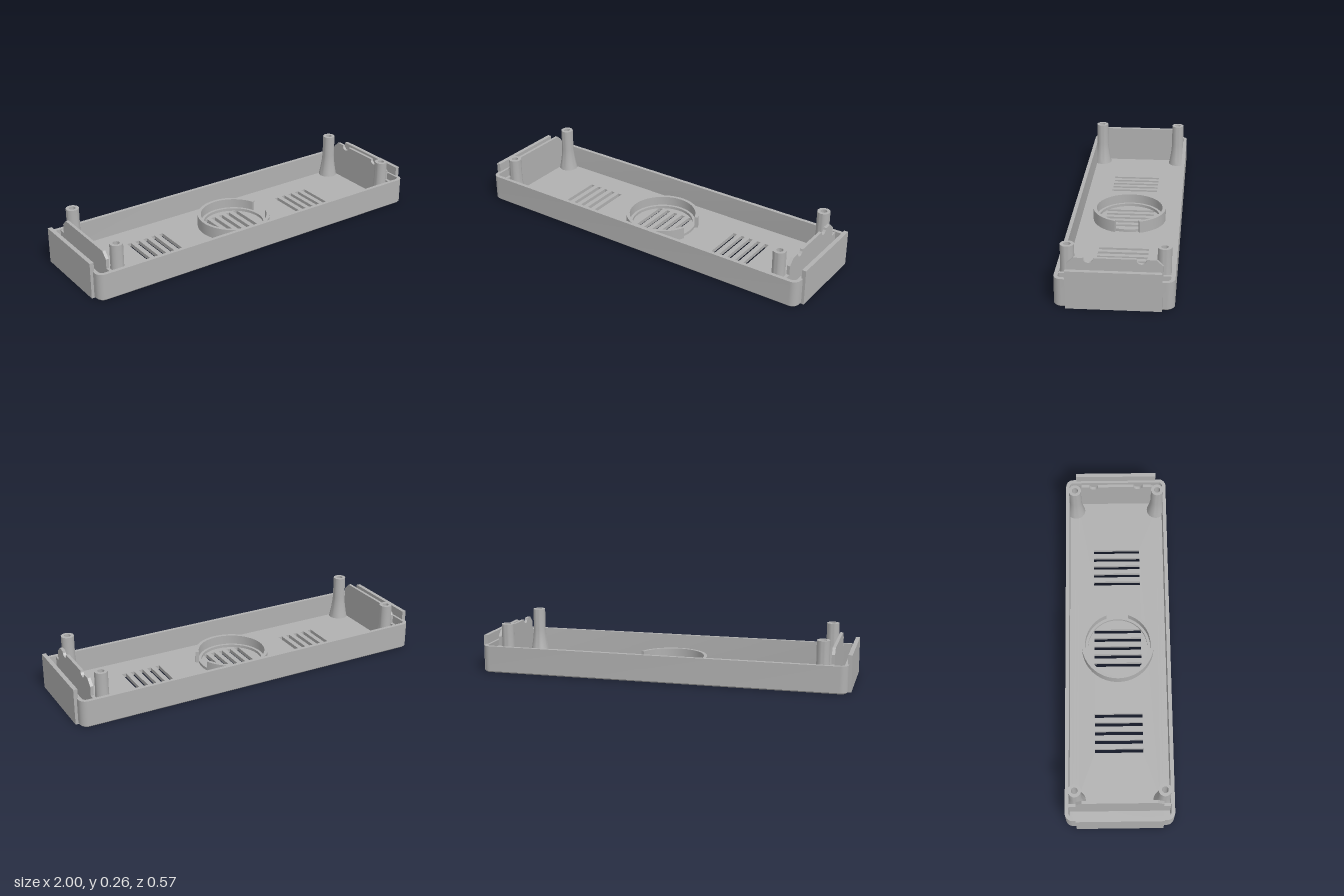
import * as THREE from 'three';
import { toCreasedNormals } from 'three/addons/utils/BufferGeometryUtils.js';

const grey = new THREE.MeshStandardMaterial({ color: 0xb0b0b0 });
grey.name = 'grey plastic';

const HALF_X = 0.985, HALF_Z = 0.285, CORNER = 0.04;
const WALL = 0.02, FLOOR = 0.02, RIM = 0.145, CHAMFER = 0.007;
const POST_X = 0.853, POST_Z = 0.231, BORE = 0.017;

function part(name, geometry) {
  const mesh = new THREE.Mesh(toCreasedNormals(geometry, 0.5), grey);
  mesh.name = name;
  return mesh;
}

// Rounded outline of the tray, shrunk by an inset; counter-clockwise from above
function outline(inset) {
  const r = CORNER - inset, cx = HALF_X - CORNER, cy = HALF_Z - CORNER;
  const pts = [];
  [[1, 1], [-1, 1], [-1, -1], [1, -1]].forEach(([sx, sy], q) => {
    for (let i = 0; i <= 8; i++) {
      const a = (q + i / 8) * Math.PI / 2;
      pts.push(new THREE.Vector2(sx * cx + r * Math.cos(a), sy * cy + r * Math.sin(a)));
    }
  });
  return pts;
}

// Extrude a plan shape upwards between two heights
function slab(shape, y0, y1) {
  const g = new THREE.ExtrudeGeometry(shape, { depth: y1 - y0, bevelEnabled: false, curveSegments: 32 });
  return g.rotateX(-Math.PI / 2).translate(0, y0, 0);
}

// Chamfered outside, flat rim and inside of the wall
function wallGeometry() {
  const profile = [[CHAMFER, 0], [0, CHAMFER], [0, RIM], [WALL, RIM], [WALL, FLOOR]];
  const rings = profile.map(([inset]) => outline(inset));
  const n = rings[0].length, pos = [], index = [];
  profile.forEach(([, y], j) => rings[j].forEach(p => pos.push(p.x, y, -p.y)));
  for (let j = 0; j < profile.length - 1; j++) {
    for (let i = 0; i < n; i++) {
      const a = j * n + i, b = j * n + (i + 1) % n;
      index.push(a, b, b + n, a, b + n, a + n);
    }
  }
  const g = new THREE.BufferGeometry();
  g.setAttribute('position', new THREE.Float32BufferAttribute(pos, 3));
  g.setIndex(index);
  return g;
}

// Floor pierced by three vent groups and four screw holes
function floorGeometry() {
  const shape = new THREE.Shape(outline(CHAMFER));
  for (const cx of [-0.488, 0, 0.488]) {
    for (let i = -2; i <= 2; i++) {
      const x = cx + i * 0.049, w = 0.011, d = 0.13;
      shape.holes.push(new THREE.Path([
        new THREE.Vector2(x - w, -d), new THREE.Vector2(x - w, d),
        new THREE.Vector2(x + w, d), new THREE.Vector2(x + w, -d)]));
    }
  }
  for (const x of [-POST_X, POST_X]) {
    for (const z of [-POST_Z, POST_Z]) {
      shape.holes.push(new THREE.Path().absarc(x, z, BORE, 0, Math.PI * 2, true));
    }
  }
  return slab(shape, 0, FLOOR);
}

// Hollow screw post with a flared foot
function postGeometry() {
  const pts = [[0.052, FLOOR], [0.046, 0.05], [0.041, 0.08], [0.037, 0.11], [0.034, 0.145],
    [0.034, 0.265], [BORE, 0.265], [BORE, FLOOR]];
  return new THREE.LatheGeometry(pts.map(p => new THREE.Vector2(...p)), 32);
}

// Upright inner plate with clipped corners and optional cable notches
function innerPlateGeometry(notched) {
  const s = new THREE.Shape();
  s.moveTo(-0.266, 0.015);
  s.lineTo(0.266, 0.015);
  s.lineTo(0.266, 0.14);
  s.lineTo(0.228, 0.14);
  s.lineTo(0.228, 0.19);
  s.lineTo(0.195, 0.222);
  if (notched) {
    for (const c of [0.125, -0.125]) s.absarc(c, 0.222, 0.025, 0, Math.PI, true);
  }
  s.lineTo(-0.195, 0.222);
  s.lineTo(-0.228, 0.19);
  s.lineTo(-0.228, 0.14);
  s.lineTo(-0.266, 0.14);
  s.closePath();
  const g = new THREE.ExtrudeGeometry(s, { depth: 0.016, bevelEnabled: false });
  return g.rotateY(Math.PI / 2).translate(-0.008, 0, 0);
}

export function createModel() {
  const group = new THREE.Group();
  group.name = 'enclosureTray';
  group.add(part('wall', wallGeometry()), part('floor', floorGeometry()));

  // Screw posts
  for (const x of [-POST_X, POST_X]) {
    for (const z of [-POST_Z, POST_Z]) {
      const post = part('screwPost', postGeometry());
      post.position.set(x, 0, z);
      group.add(post);
    }
  }

  // End plates
  for (const side of [-1, 1]) {
    const outer = part('outerEndPlate', new THREE.BoxGeometry(0.022, 0.193, 0.454));
    outer.position.set(side * 0.989, 0.0965, 0);
    const inner = part('innerEndPlate', innerPlateGeometry(side > 0));
    inner.position.x = side * 0.904;
    group.add(outer, inner);
  }

  // Open holder ring with a low inner ledge
  const gap = 0.34;
  const holder = new THREE.Shape();
  holder.absarc(0, 0, 0.198, gap, Math.PI * 2 - gap, false);
  holder.absarc(0, 0, 0.18, Math.PI * 2 - gap, gap, true);
  holder.closePath();
  const ledge = new THREE.Shape().absarc(0, 0, 0.181, 0, Math.PI * 2, false);
  ledge.holes.push(new THREE.Path().absarc(0, 0, 0.165, 0, Math.PI * 2, true));
  group.add(part('holderRing', slab(holder, 0.015, 0.085)), part('holderLedge', slab(ledge, 0.015, 0.035)));
  return group;
}
